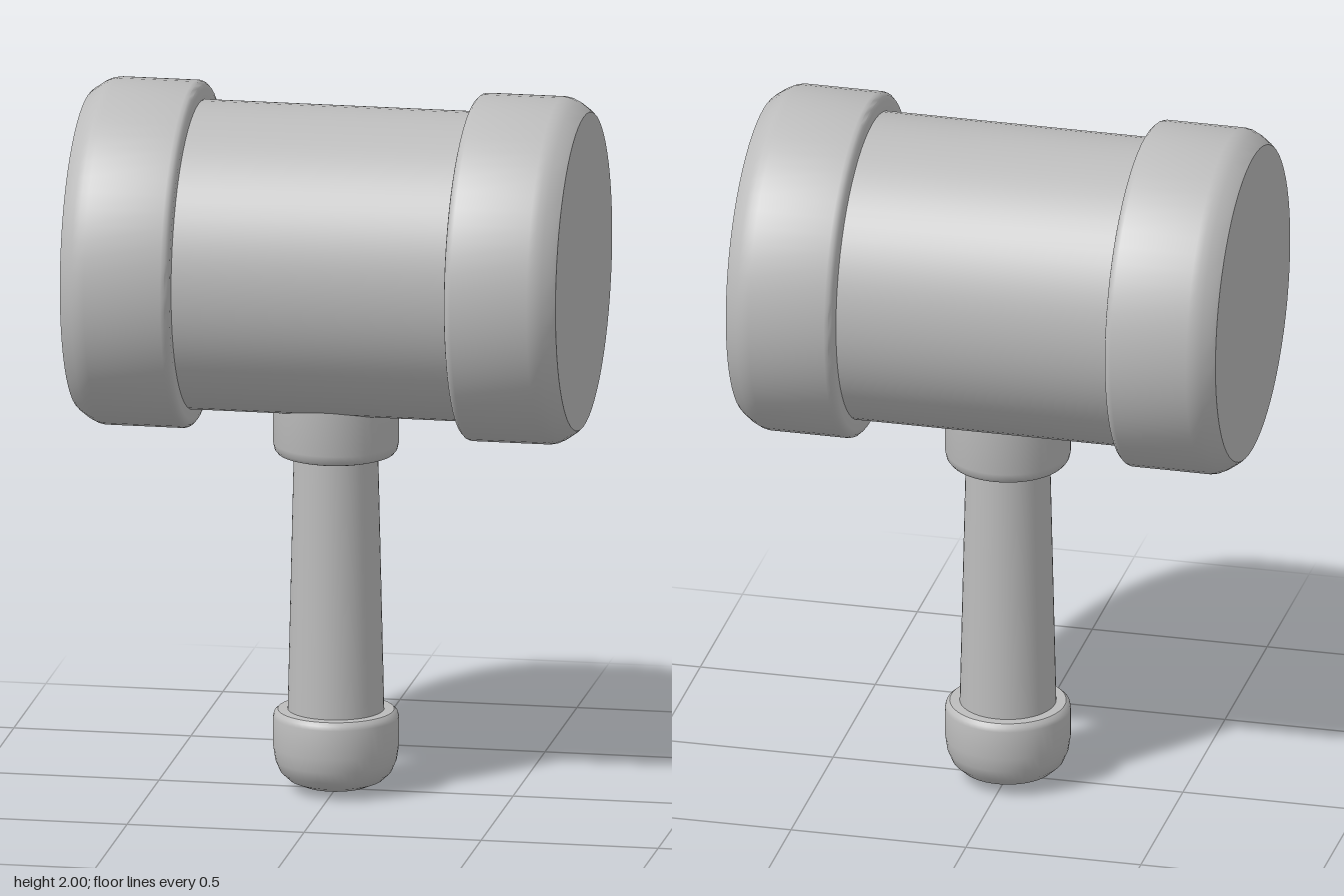
import * as THREE from 'three';
import { toCreasedNormals } from 'three/addons/utils/BufferGeometryUtils.js';

const HEAD_Y = 1.515;

export function createModel() {
  const model = new THREE.Group();
  model.name = 'mallet';
  const grey = new THREE.MeshStandardMaterial({ color: 0xbcbcbc });
  grey.name = 'plain grey';

  // Turned part from [radius, height] points, listed bottom to top
  function turned(name, profile, segments) {
    const points = profile.map(([r, y]) => new THREE.Vector2(r, y));
    const geometry = toCreasedNormals(new THREE.LatheGeometry(points, segments), 0.7);
    const mesh = new THREE.Mesh(geometry, grey);
    mesh.name = name;
    model.add(mesh);
    return mesh;
  }

  // Barrel of the head, lying along x
  const barrel = turned('headBarrel', [[0.432, -0.42], [0.432, 0.42]], 64);
  barrel.rotation.z = -Math.PI / 2;
  barrel.position.y = HEAD_Y;

  // Striking caps with a rounded inner lip and a bevelled outer rim
  const capProfile = [
    [0.425, 0.388], [0.462, 0.388], [0.474, 0.391], [0.482, 0.399], [0.485, 0.41],
    [0.485, 0.625], [0.481, 0.645], [0.472, 0.664], [0.452, 0.692], [0.444, 0.7], [0, 0.7],
  ];
  for (const side of [1, -1]) {
    const cap = turned(side > 0 ? 'leftCap' : 'rightCap', capProfile, 64);
    cap.rotation.z = -side * Math.PI / 2;
    cap.position.y = HEAD_Y;
  }

  // Collar where the handle meets the barrel
  turned('handleCollar', [
    [0.1, 0.963], [0.15, 0.963], [0.163, 0.967], [0.171, 0.977], [0.175, 0.995], [0.175, 1.16],
  ], 48);

  // Handle, narrowing upward
  turned('handle', [[0.135, 0.2], [0.117, 0.99]], 48);

  // Rounded pommel
  turned('pommel', [
    [0, 0], [0.05, 0.004], [0.095, 0.014], [0.13, 0.029], [0.155, 0.052], [0.169, 0.085],
    [0.175, 0.125], [0.175, 0.208], [0.172, 0.22], [0.162, 0.229], [0.125, 0.23],
  ], 48);

  return model;
}
